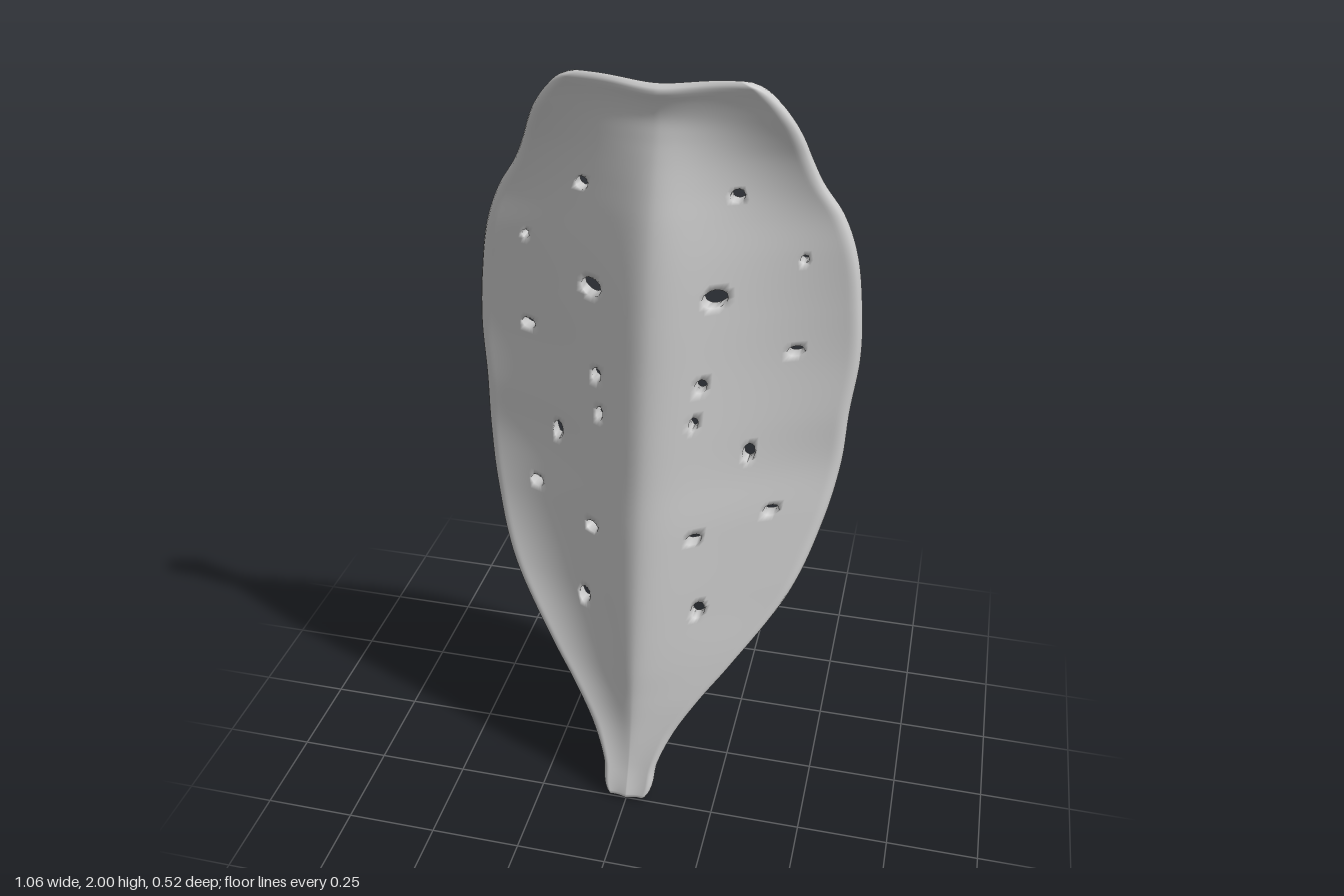
import * as THREE from 'three';
import { mergeVertices } from 'three/addons/utils/BufferGeometryUtils.js';

// Leaf profile up its length: height, half width, front of the midrib, back of the rim
const PROFILE = [
  [0, 0.048, 0.262, 0.195], [0.015, 0.062, 0.257, 0.192], [0.1, 0.079, 0.222, 0.162], [0.2, 0.122, 0.195, 0.126],
  [0.3, 0.186, 0.18, 0.088], [0.4, 0.262, 0.17, 0.042], [0.6, 0.4, 0.145, -0.062], [0.8, 0.474, 0.115, -0.158],
  [0.95, 0.504, 0.088, -0.213], [1.1, 0.513, 0.064, -0.234], [1.25, 0.528, 0.04, -0.259], [1.4, 0.52, 0.015, -0.266],
  [1.55, 0.495, -0.015, -0.266], [1.65, 0.455, -0.04, -0.262], [1.73, 0.403, -0.065, -0.245], [1.8, 0.371, -0.088, -0.228],
  [1.85, 0.352, -0.103, -0.212], [1.9, 0.326, -0.112, -0.195], [1.95, 0.287, -0.105, -0.18], [1.985, 0.245, -0.092, -0.165],
  [2, 0.205, -0.09, -0.15],
];
// Holes on one half: x, y, radius x, radius y
const HOLES = [
  [0.2, 1.71, 0.018, 0.017], [0.37, 1.54, 0.012, 0.011], [0.162, 1.457, 0.031, 0.024], [0.365, 1.291, 0.023, 0.014],
  [0.14, 1.228, 0.015, 0.019], [0.127, 1.126, 0.011, 0.02], [0.265, 1.017, 0.016, 0.027], [0.333, 0.842, 0.022, 0.015],
  [0.142, 0.792, 0.021, 0.016], [0.162, 0.571, 0.018, 0.025],
];
const COLS = 96, ROWS = 160;
const { lerp, smoothstep } = THREE.MathUtils;

const profile = new THREE.CubicInterpolant(
  PROFILE.map(p => p[0]), PROFILE.flatMap(p => p.slice(1)), 3, new Float32Array(3));

// Middle depth and half thickness of the blade at (x, y)
function blade(x, y) {
  const [w, front, back] = profile.evaluate(y);
  const u = Math.min(1, Math.abs(x) / w);
  const half = lerp(0.031, 0.024, smoothstep(y, 0.05, 0.4));
  const a = 0.15;
  const v = (Math.hypot(u, a) - a) / (Math.hypot(1, a) - a); // V fold with a rounded midrib
  const flare = lerp(0.95, 0.5, smoothstep(y, 0.5, 0.9)); // flattens the fold towards the rim
  const z = lerp(front - half, back + half, v + flare * v * (1 - v));
  const round = Math.min(0.03, 0.25 * w);
  const e = Math.max(0, Math.min(1, (1 - u) * w / round, (2 - y) / 0.03, y / 0.01));
  const t = (half - 0.004 * Math.sin(Math.PI * u)) * Math.sqrt(1 - (1 - e) ** 2);
  return { z, t };
}

function bladeGeometry() {
  const id = (i, j) => j * (COLS + 1) + i;
  // Flat grid, denser towards the rim
  const grid = [];
  for (let j = 0; j <= ROWS; j++) {
    const s = j / ROWS, y = 2 * (0.7 * s + 0.15 * (1 - Math.cos(Math.PI * s)));
    const w = profile.evaluate(y)[0];
    for (let i = 0; i <= COLS; i++) {
      const k = 2 * i / COLS - 1;
      grid.push([w * (0.7 * k + 0.3 * Math.sin(Math.PI * k / 2)), y]);
    }
  }
  // Mark the cells inside a hole, then pull the cells' border onto the hole outline
  const cut = new Map();
  const holes = [...HOLES, ...HOLES.map(([x, ...r]) => [-x, ...r])];
  for (let j = 0; j < ROWS; j++) for (let i = 0; i < COLS; i++) {
    const a = grid[id(i, j)], c = grid[id(i + 1, j + 1)];
    const x = (a[0] + c[0]) / 2, y = (a[1] + c[1]) / 2;
    const h = holes.find(([hx, hy, rx, ry]) => Math.hypot((x - hx) / rx, (y - hy) / ry) < 1);
    if (h) cut.set(j * COLS + i, h);
  }
  const isCut = (i, j) => cut.has(j * COLS + i);
  for (let j = 1; j < ROWS; j++) for (let i = 1; i < COLS; i++) {
    const around = [[i - 1, j - 1], [i, j - 1], [i - 1, j], [i, j]];
    const inside = around.filter(c => isCut(...c));
    if (!inside.length || inside.length === 4) continue;
    const [hx, hy, rx, ry] = cut.get(inside[0][1] * COLS + inside[0][0]);
    const p = grid[id(i, j)], d = Math.hypot((p[0] - hx) / rx, (p[1] - hy) / ry);
    p[0] = hx + (p[0] - hx) / d;
    p[1] = hy + (p[1] - hy) / d;
  }
  // Front and back sheets
  const position = [], index = [];
  for (const side of [1, -1]) for (const [x, y] of grid) {
    const { z, t } = blade(x, y);
    const notch = 0.015 * Math.exp(-((x / 0.11) ** 2)) * smoothstep(y, 1.85, 2);
    position.push(x, y - notch, z + side * t);
  }
  const n = grid.length;
  for (let j = 0; j < ROWS; j++) for (let i = 0; i < COLS; i++) {
    if (isCut(i, j)) continue;
    const [a, b, c, d] = [id(i, j), id(i + 1, j), id(i + 1, j + 1), id(i, j + 1)];
    index.push(a, b, c, a, c, d, n + a, n + c, n + b, n + a, n + d, n + c);
    // Walls where the neighbouring cell is open
    const edges = [[a, b, i, j - 1], [b, c, i + 1, j], [c, d, i, j + 1], [d, a, i - 1, j]];
    for (const [p, q, ni, nj] of edges) {
      if (ni < 0 || ni >= COLS || nj < 0 || nj >= ROWS || !isCut(ni, nj)) continue;
      index.push(q, p, n + p, q, n + p, n + q);
    }
  }
  const geometry = new THREE.BufferGeometry();
  geometry.setAttribute('position', new THREE.Float32BufferAttribute(position, 3));
  geometry.setIndex(index);
  const merged = mergeVertices(geometry, 1e-5);
  merged.computeVertexNormals();
  return merged;
}

export function createModel() {
  const group = new THREE.Group();
  group.name = 'leaf';
  const leaf = new THREE.Mesh(bladeGeometry(), new THREE.MeshStandardMaterial({ color: 0xcccccc }));
  leaf.name = 'leafBlade';
  group.add(leaf);
  return group;
}
